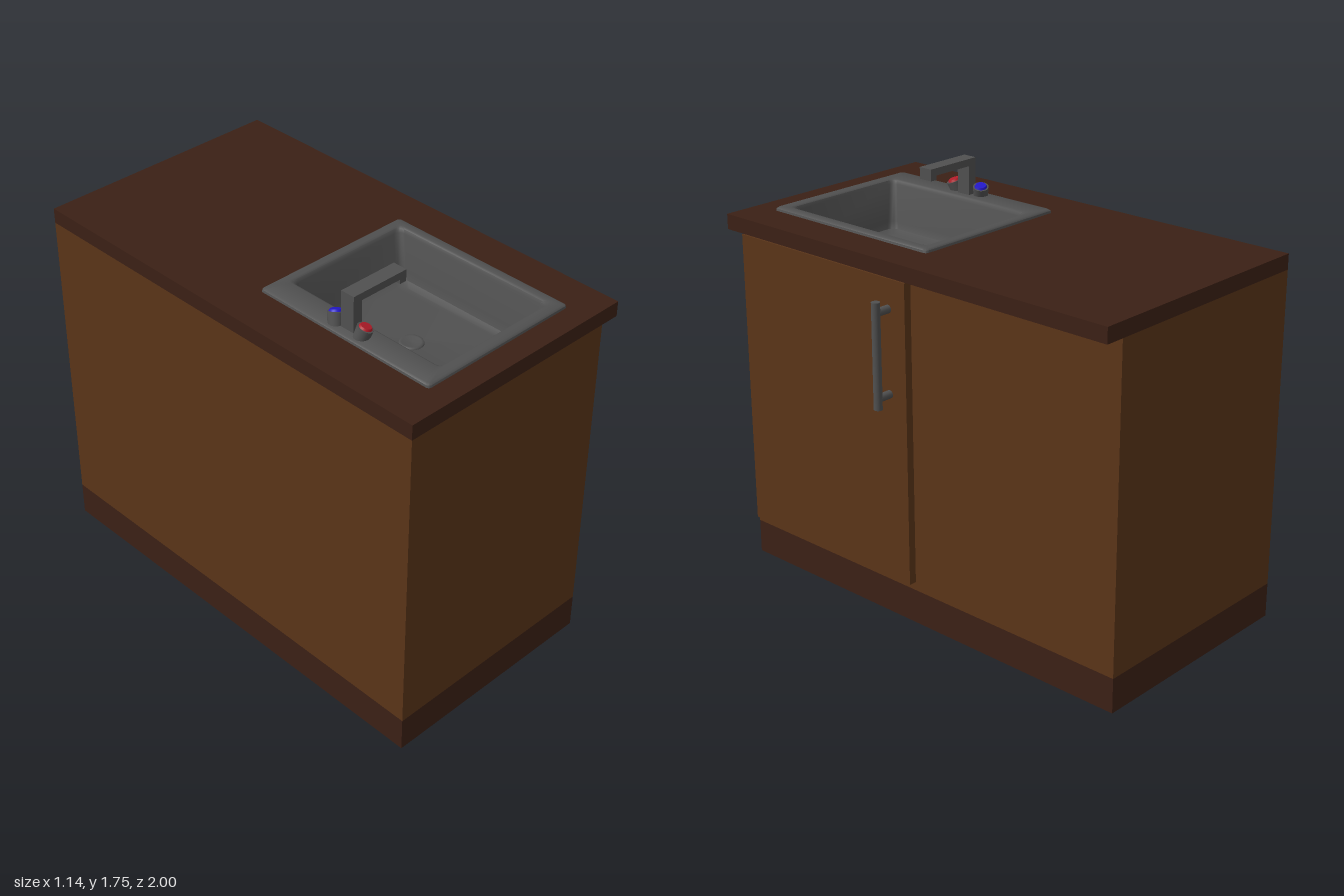
import * as THREE from 'three';
import { toCreasedNormals } from 'three/addons/utils/BufferGeometryUtils.js';

const paint = (color) => new THREE.MeshStandardMaterial({ color });
const wood = paint(0x5a3418), darkWood = paint(0x3b2015), steel = paint(0x505050);
const sinkSteel = paint(0x505050);
sinkSteel.side = THREE.DoubleSide;

function add(parent, name, geometry, material) {
  const mesh = new THREE.Mesh(geometry, material);
  mesh.name = name;
  parent.add(mesh);
  return mesh;
}

// Box given by its limits on each axis
function box(x0, x1, y0, y1, z0, z1) {
  return new THREE.BoxGeometry(x1 - x0, y1 - y0, z1 - z0)
    .translate((x0 + x1) / 2, (y0 + y1) / 2, (z0 + z1) / 2);
}

// Box with an upright rectangular hole through it
function holedBox([x0, x1, y0, y1, z0, z1], [hx0, hx1, hz0, hz1]) {
  const rect = (a, b, c, d) => [[a, c], [b, c], [b, d], [a, d]].map(([x, z]) => new THREE.Vector2(x, -z));
  const shape = new THREE.Shape(rect(x0, x1, z0, z1));
  shape.holes.push(new THREE.Path(rect(hx0, hx1, hz0, hz1)));
  return new THREE.ExtrudeGeometry(shape, { depth: y1 - y0, bevelEnabled: false })
    .rotateX(-Math.PI / 2).translate(0, y0, 0);
}

// Skin over rounded-rectangle rings [x0, x1, z0, z1, radius, y], closed by the last one
function loftRings(rings) {
  const steps = 5, n = 4 * (steps + 1), pos = [], index = [];
  for (const [x0, x1, z0, z1, r, y] of rings) {
    const corners = [[x1 - r, z1 - r], [x0 + r, z1 - r], [x0 + r, z0 + r], [x1 - r, z0 + r]];
    corners.forEach(([cx, cz], c) => {
      for (let s = 0; s <= steps; s++) {
        const a = (c + s / steps) * Math.PI / 2;
        pos.push(cx + r * Math.cos(a), y, cz + r * Math.sin(a));
      }
    });
  }
  for (let k = 0; k < rings.length - 1; k++) {
    for (let i = 0; i < n; i++) {
      const a = k * n + i, b = k * n + (i + 1) % n;
      index.push(a, a + n, b, b, a + n, b + n);
    }
  }
  const last = (rings.length - 1) * n;
  for (let i = 1; i < n - 1; i++) index.push(last, last + i + 1, last + i);
  const g = new THREE.BufferGeometry();
  g.setAttribute('position', new THREE.Float32BufferAttribute(pos, 3));
  g.setIndex(index);
  return toCreasedNormals(g, 0.7);
}

export function createModel() {
  const model = new THREE.Group();
  model.name = 'sinkCabinet';

  // Cabinet, plinth and worktop, cut out for the basin
  const cutout = [-0.33, 0.34, 0.05, 0.87];
  add(model, 'plinth', box(-0.57, 0.445, 0, 0.15, -1, 1), darkWood);
  add(model, 'cabinetBody', holedBox([-0.57, 0.445, 0.15, 1.51, -1, 1], cutout), wood);
  add(model, 'worktop', holedBox([-0.57, 0.53, 1.51, 1.575, -1, 1], cutout), darkWood);

  // Door with a bar handle
  add(model, 'door', box(0.448, 0.482, 0.19, 1.483, 0.03, 0.97), wood);
  const handle = new THREE.Group();
  handle.name = 'doorHandle';
  model.add(handle);
  add(handle, 'handleBar', new THREE.CylinderGeometry(0.018, 0.018, 0.445, 20), steel)
    .position.set(0.548, 1.182, 0.12);
  for (const y of [1.005, 1.36]) {
    const post = add(handle, 'handlePost', new THREE.CylinderGeometry(0.017, 0.017, 0.07, 16), steel);
    post.rotation.z = Math.PI / 2;
    post.position.set(0.514, y, 0.12);
  }

  // Sink: raised rim, wide tap deck, sloping basin walls with a rounded foot
  add(model, 'sink', loftRings([
    [-0.38, 0.365, 0.025, 0.895, 0.015, 1.575],
    [-0.378, 0.363, 0.027, 0.893, 0.015, 1.584],
    [-0.37, 0.355, 0.035, 0.885, 0.015, 1.59],
    [-0.275, 0.325, 0.063, 0.85, 0.02, 1.59],
    [-0.266, 0.316, 0.072, 0.841, 0.025, 1.586],
    [-0.26, 0.31, 0.08, 0.835, 0.03, 1.572],
    [-0.245, 0.3, 0.107, 0.823, 0.03, 1.41],
    [-0.236, 0.292, 0.118, 0.815, 0.035, 1.38],
    [-0.21, 0.268, 0.145, 0.79, 0.035, 1.367],
  ]), sinkSteel);
  const drainProfile = [[0.05, 0], [0.047, 0.007], [0.038, 0.007], [0.025, 0.003], [0, 0.001]]
    .map(([r, y]) => new THREE.Vector2(r, y));
  add(model, 'drain', new THREE.LatheGeometry(drainProfile, 28), sinkSteel)
    .position.set(0.003, 1.367, 0.45);

  // Tap: square post, arm and down-turned tip in one outline
  const outline = [[-0.342, 1.585], [-0.3, 1.585], [-0.3, 1.714], [-0.105, 1.714],
    [-0.105, 1.695], [-0.073, 1.695], [-0.073, 1.745], [-0.342, 1.745]];
  const tapShape = new THREE.Shape(outline.map(([x, y]) => new THREE.Vector2(x, y)));
  const tap = new THREE.ExtrudeGeometry(tapShape, { depth: 0.064, bevelEnabled: false });
  add(model, 'tap', tap.translate(0, 0, 0.42), steel);

  // Hot and cold knobs leaning forward and away from the tap
  for (const [name, side, color] of [['hotKnob', 1, 0xb01c28], ['coldKnob', -1, 0x2418c8]]) {
    const knob = new THREE.Group();
    knob.name = name;
    knob.position.set(-0.336, 1.588, 0.452 + side * 0.066);
    knob.quaternion.setFromUnitVectors(
      new THREE.Vector3(0, 1, 0), new THREE.Vector3(0.26, 1, side * 0.26).normalize());
    add(knob, 'knobBody', new THREE.CylinderGeometry(0.033, 0.03, 0.052, 24).translate(0, 0.018, 0), steel);
    add(knob, 'knobCap', new THREE.CylinderGeometry(0.022, 0.027, 0.009, 24).translate(0, 0.0475, 0), paint(color));
    model.add(knob);
  }
  return model;
}
